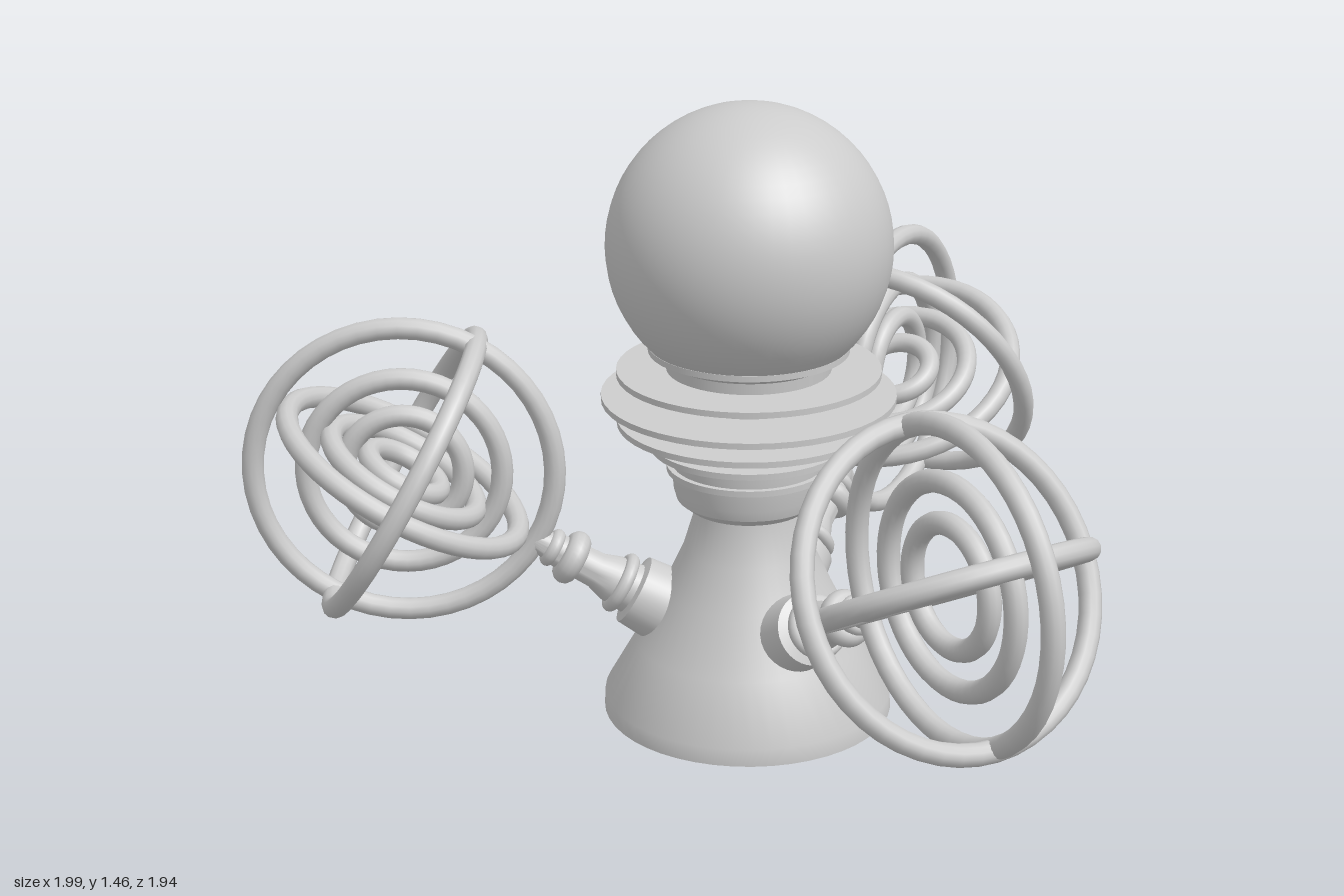
import * as THREE from 'three';
import { toCreasedNormals } from 'three/addons/utils/BufferGeometryUtils.js';

const grey = new THREE.MeshStandardMaterial({ color: 0xcccccc });
const greyOpen = new THREE.MeshStandardMaterial({ color: 0xcccccc, side: THREE.DoubleSide });

function add(parent, name, geometry, material = grey) {
  const mesh = new THREE.Mesh(geometry, material);
  mesh.name = name;
  parent.add(mesh);
  return mesh;
}

// Turned part from [radius, height] pairs, listed bottom to top
function turned(points, segments = 48) {
  const profile = points.map(([r, y]) => new THREE.Vector2(r, y));
  return toCreasedNormals(new THREE.LatheGeometry(profile, segments), 0.5);
}

// Nested rings of one arm's cage, given by outer radius and plane
function createCage() {
  const cage = new THREE.Group();
  cage.name = 'ringCage';
  const tube = 0.025;
  const sets = [
    { name: 'uprightRing', radii: [0.368, 0.248, 0.16], turn: [0, Math.PI / 2, 0] },
    { name: 'crossRing', radii: [0.372], turn: [0, 0, 0] },
    { name: 'levelRing', radii: [0.32, 0.21, 0.115], turn: [Math.PI / 2, 0, 0] },
  ];
  for (const { name, radii, turn } of sets) {
    for (const r of radii) {
      const ring = add(cage, name, new THREE.TorusGeometry(r - tube, tube, 12, 48));
      ring.rotation.set(...turn);
    }
  }
  return cage;
}

// Arm with stub, collar, bulb and cage; local +z points outward, origin at cage centre
function createArm() {
  const arm = new THREE.Group();
  arm.name = 'arm';
  const stub = add(arm, 'armStub', turned([
    [0, -0.7], [0.092, -0.7], [0.083, -0.6], [0.06, -0.595], [0.055, -0.54],
    [0.042, -0.5], [0.038, -0.39], [0.025, -0.34], [0, -0.34],
  ], 32));
  stub.rotation.x = Math.PI / 2;
  const rings = [
    ['armCollar', 0.058, 0.016, -0.565],
    ['armBulb', 0.038, 0.027, -0.435],
    ['armTip', 0.03, 0.016, -0.385],
  ];
  for (const [name, radius, tube, z] of rings) {
    add(arm, name, new THREE.TorusGeometry(radius, tube, 12, 32)).position.z = z;
  }
  arm.add(createCage());
  return arm;
}

export function createModel() {
  const model = new THREE.Group();
  model.name = 'figure';

  // The whole body leans slightly forward
  const body = new THREE.Group();
  body.name = 'body';
  body.position.set(0.085, 0.018, -0.196);
  body.quaternion.setFromUnitVectors(
    new THREE.Vector3(0, 1, 0), new THREE.Vector3(-0.018, 1.12, 0.05).normalize());
  model.add(body);

  // Hollow skirt
  add(body, 'skirt', turned([
    [0.337, 0], [0.335, 0.04], [0.262, 0.17], [0.196, 0.3], [0.15, 0.4], [0.12, 0.5], [0.12, 0.52],
  ]), greyOpen);

  // Neck with stacked discs
  add(body, 'neck', turned([
    [0, 0.505], [0.14, 0.505], [0.165, 0.525], [0.172, 0.55], [0.176, 0.62], [0.19, 0.89], [0, 0.89],
  ]));
  const discs = [
    [0.6, 0.188], [0.655, 0.225], [0.713, 0.3], [0.77, 0.335], [0.828, 0.3], [0.886, 0.228],
  ];
  for (const [y, r] of discs) {
    add(body, 'neckDisc', new THREE.CylinderGeometry(r, r, 0.014, 48)).position.y = y;
  }

  // Head
  add(body, 'head', new THREE.SphereGeometry(0.321, 48, 32)).position.y = 1.12;

  // Three arms, evenly spaced
  for (let i = 0; i < 3; i++) {
    const pivot = new THREE.Group();
    pivot.name = 'armPivot';
    pivot.rotation.y = THREE.MathUtils.degToRad(7.5 + 120 * i);
    const arm = createArm();
    arm.position.set(0, 0.59, 0.785);
    arm.rotation.x = -Math.PI / 6;
    pivot.add(arm);
    body.add(pivot);
  }
  return model;
}
